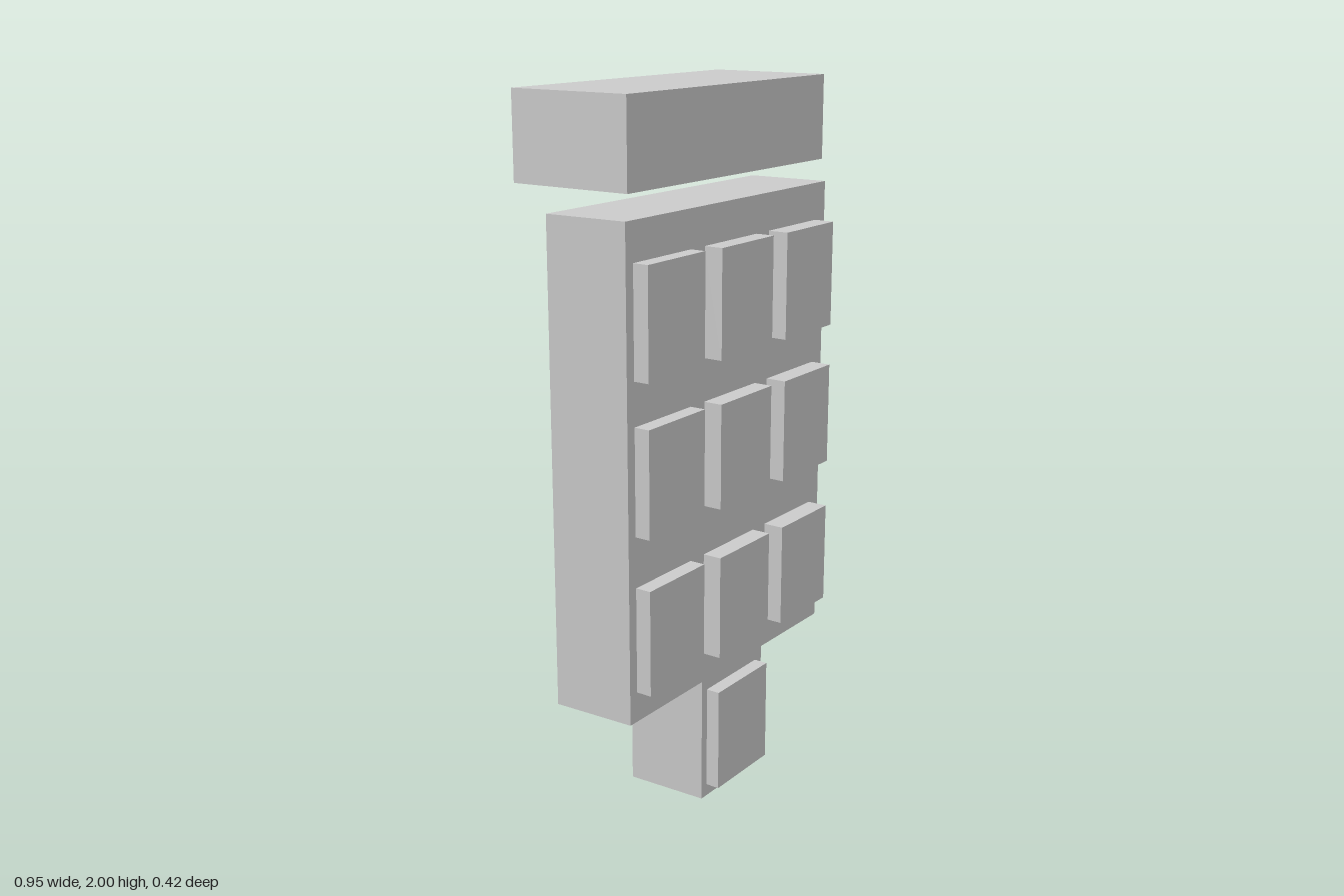
import * as THREE from 'three';

const material = new THREE.MeshStandardMaterial({ color: 0xcccccc, flatShading: true, side: THREE.DoubleSide });
const PANEL_Z = 0.15, BACK_Z = -0.09;

const rect = (x0, x1, y0, y1) => [[x0, y0], [x1, y0], [x1, y1], [x0, y1]]
  .map(([x, y]) => new THREE.Vector2(x, y));

function addMesh(parent, name, geometry) {
  const mesh = new THREE.Mesh(geometry, material);
  mesh.name = name;
  parent.add(mesh);
  return mesh;
}

// Thin walls along a counter-clockwise outline; the back edge may be shifted in x
function wallGeometry(outline, zBack, zFront, backShift = 0) {
  const positions = [];
  outline.forEach((a, i) => {
    const b = outline[(i + 1) % outline.length];
    const a0 = [a.x + backShift, a.y, zBack], b0 = [b.x + backShift, b.y, zBack];
    const a1 = [a.x, a.y, zFront], b1 = [b.x, b.y, zFront];
    positions.push(...a0, ...b0, ...b1, ...a0, ...b1, ...a1);
  });
  const geometry = new THREE.BufferGeometry();
  geometry.setAttribute('position', new THREE.Float32BufferAttribute(positions, 3));
  geometry.computeVertexNormals();
  return geometry;
}

// Raised square, hollow from behind
function addRaisedSquare(parent, name, outline, zFront) {
  const square = new THREE.Group();
  square.name = name;
  addMesh(square, 'squareSides', wallGeometry(outline, PANEL_Z, zFront));
  addMesh(square, 'squareFace', new THREE.ShapeGeometry(new THREE.Shape(outline))).position.z = zFront;
  parent.add(square);
}

export function createModel() {
  const model = new THREE.Group();
  model.name = 'blockPanel';

  // Detached block above the panel
  addMesh(model, 'topBlock', new THREE.BoxGeometry(0.91, 0.235, 0.36)).position.set(0, 1.8825, -0.03);

  // Wide body with a narrow stem below
  const outline = [
    [-0.135, 0], [0.17, 0], [0.17, 0.365], [0.475, 0.365],
    [0.475, 1.7], [-0.465, 1.7], [-0.465, 0.365], [-0.135, 0.365],
  ].map(([x, y]) => new THREE.Vector2(x, y));

  // Three rows of three squares, plus one on the stem
  const rows = [[0.45, 0.745], [0.885, 1.178], [1.297, 1.595]];
  const columns = [[-0.435, -0.19, 0.195], [-0.128, 0.118, 0.205], [0.18, 0.424, 0.21]];
  const squares = [{ name: 'stemSquare', points: rect(-0.11, 0.138, 0.035, 0.333), z: 0.19 }];
  rows.forEach(([y0, y1], r) => columns.forEach(([x0, x1, z], c) => {
    squares.push({ name: `square${r + 1}${c + 1}`, points: rect(x0, x1, y0, y1), z });
  }));

  // Front panel, opened behind each square
  const panel = new THREE.Shape(outline);
  squares.forEach(({ points }) => panel.holes.push(new THREE.Path(points)));
  addMesh(model, 'frontPanel', new THREE.ShapeGeometry(panel)).position.z = PANEL_Z;

  // Side walls, slightly skewed, open at the back
  addMesh(model, 'outerWalls', wallGeometry(outline, BACK_Z, PANEL_Z, -0.01));

  squares.forEach(({ name, points, z }) => addRaisedSquare(model, name, points, z));
  return model;
}
